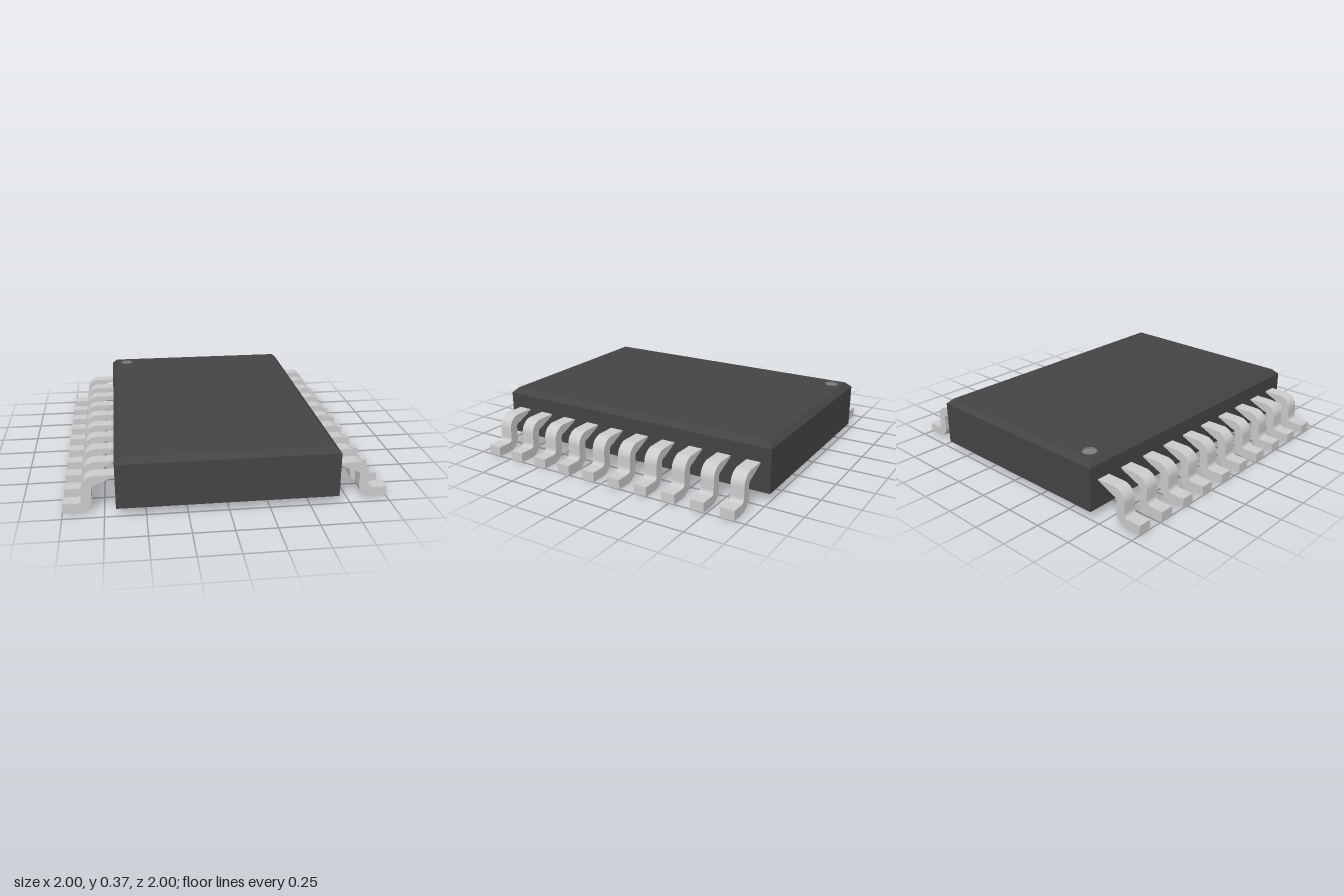
import * as THREE from 'three';
import { toCreasedNormals } from 'three/addons/utils/BufferGeometryUtils.js';

const HALF_W = 0.68, HALF_D = 1, BOTTOM = 0.05, TOP = 0.37, CHAMFER = 0.035;
const DOT = { x: -0.57, z: -0.888, r: 0.047, depth: 0.012 };
const PINS = 10, PITCH = 0.197, PIN_W = 0.09;

// Rectangular rings joined into walls and chamfer, with the underside closed
function shellGeometry() {
  const ring = (y, inset) => [[1, 1], [1, -1], [-1, -1], [-1, 1]].map(
    ([sx, sz]) => [sx * (HALF_W - inset), y, sz * (HALF_D - inset)]);
  const rings = [ring(BOTTOM, 0), ring(TOP - CHAMFER, 0), ring(TOP, CHAMFER)];
  const pos = [];
  const quad = (a, b, c, d) => pos.push(...a, ...b, ...c, ...a, ...c, ...d);
  for (let k = 0; k < 2; k++) {
    for (let i = 0; i < 4; i++) {
      const j = (i + 1) % 4;
      quad(rings[k][i], rings[k][j], rings[k + 1][j], rings[k + 1][i]);
    }
  }
  quad(...[...rings[0]].reverse());
  const g = new THREE.BufferGeometry();
  g.setAttribute('position', new THREE.Float32BufferAttribute(pos, 3));
  g.computeVertexNormals();
  return g;
}

// Flat lid with a round opening for the orientation mark
function lidGeometry() {
  const w = HALF_W - CHAMFER, d = HALF_D - CHAMFER;
  const s = new THREE.Shape([[-w, -d], [w, -d], [w, d], [-w, d]].map(p => new THREE.Vector2(...p)));
  s.holes.push(new THREE.Path().absarc(DOT.x, -DOT.z, DOT.r, 0, Math.PI * 2, true));
  return new THREE.ShapeGeometry(s, 16).rotateX(-Math.PI / 2).translate(0, TOP, 0);
}

// Gull-wing profile extruded across the width of the lead
function leadGeometry() {
  const s = new THREE.Shape();
  const R = 0.085, r = 0.028, q = Math.PI / 2;
  s.moveTo(0.66, 0.18);
  s.absarc(0.823 - r, 0.18 - r, r, q, 0, true);
  s.absarc(0.823 + R, R, R, Math.PI, 3 * q, false);
  s.lineTo(1, 0);
  s.lineTo(1, 0.063);
  s.absarc(0.883 + r, 0.063 + r, r, 3 * q, Math.PI, true);
  s.absarc(0.883 - R, 0.24 - R, R, 0, q, false);
  s.lineTo(0.66, 0.24);
  s.closePath();
  const g = new THREE.ExtrudeGeometry(s, { depth: PIN_W, bevelEnabled: false, curveSegments: 8 });
  return toCreasedNormals(g.translate(0, 0, -PIN_W / 2), Math.PI / 6);
}

export function createModel() {
  const model = new THREE.Group();
  const dark = new THREE.MeshStandardMaterial({ color: 0x444444 });
  const mark = new THREE.MeshStandardMaterial({ color: 0x808080, side: THREE.DoubleSide });
  const metal = new THREE.MeshStandardMaterial({ color: 0xcccccc });
  const add = (parent, name, geometry, material) => {
    const mesh = new THREE.Mesh(geometry, material);
    mesh.name = name;
    parent.add(mesh);
    return mesh;
  };

  // Package body
  const body = new THREE.Group();
  body.name = 'body';
  model.add(body);
  add(body, 'bodyShell', shellGeometry(), dark);
  add(body, 'bodyLid', lidGeometry(), dark);

  // Shallow recessed orientation mark
  add(body, 'markWall', new THREE.CylinderGeometry(DOT.r, DOT.r, DOT.depth, 32, 1, true), mark)
    .position.set(DOT.x, TOP - DOT.depth / 2, DOT.z);
  add(body, 'markFloor', new THREE.CircleGeometry(DOT.r, 32).rotateX(-Math.PI / 2), mark)
    .position.set(DOT.x, TOP - DOT.depth, DOT.z);

  // Two rows of leads, the right one turned half a revolution
  const lead = leadGeometry();
  for (const side of ['left', 'right']) {
    const row = new THREE.Group();
    row.name = side + 'Leads';
    if (side === 'right') row.rotation.y = Math.PI;
    for (let i = 0; i < PINS; i++) {
      add(row, side + 'Lead' + (i + 1), lead, metal).position.z = (i - (PINS - 1) / 2) * PITCH;
    }
    model.add(row);
  }
  return model;
}
